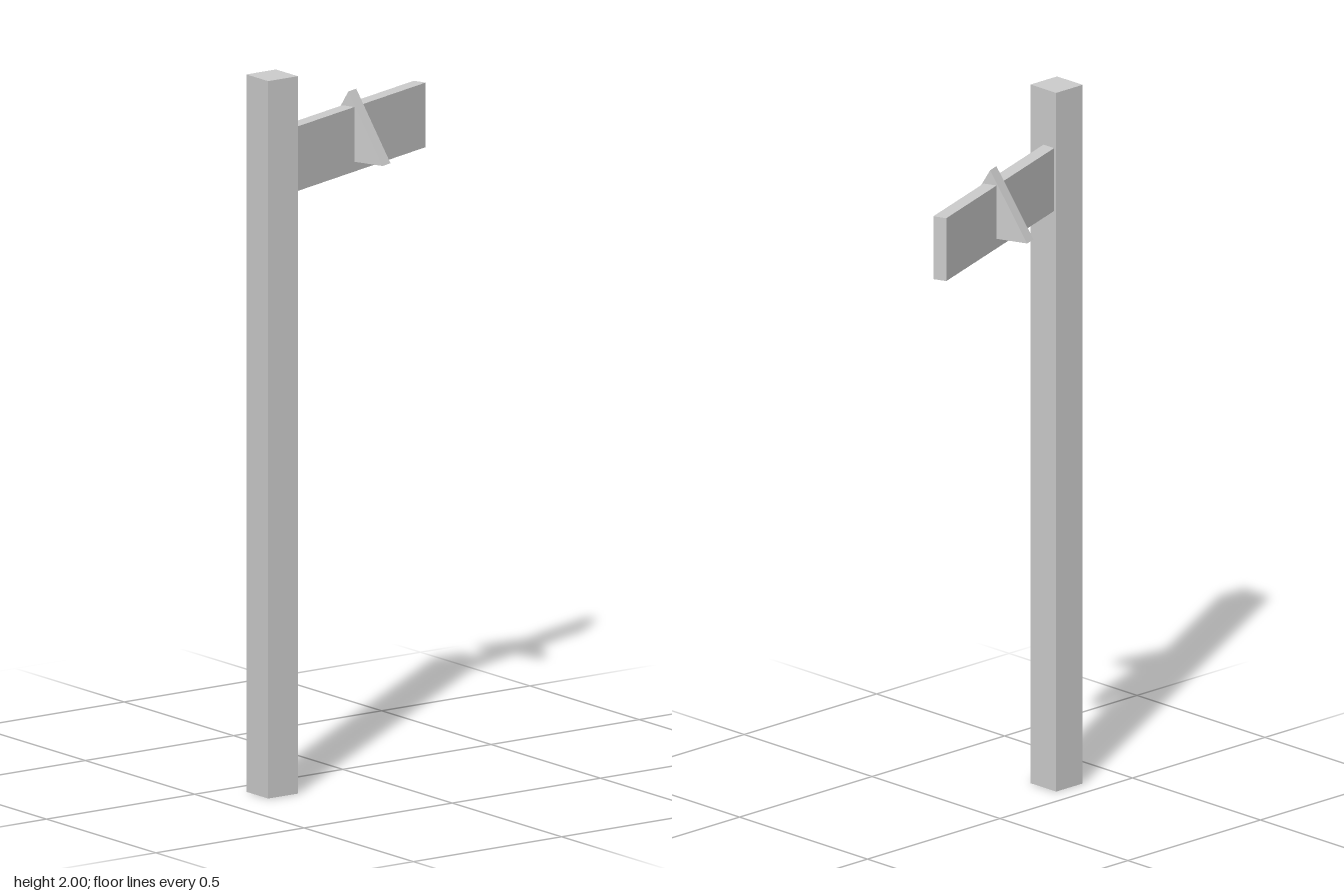
import * as THREE from 'three';

export function createModel() {
  const model = new THREE.Group();
  model.name = 'signpost';
  const paleGrey = new THREE.MeshStandardMaterial({ color: 0xcccccc });
  paleGrey.name = 'paleGrey';
  paleGrey.flatShading = true;

  const add = (parent, name, geometry, x, y, z) => {
    const mesh = new THREE.Mesh(geometry, paleGrey);
    mesh.name = name;
    mesh.position.set(x, y, z);
    parent.add(mesh);
  };

  // Square upright
  add(model, 'post', new THREE.BoxGeometry(0.1, 2, 0.1), -0.32, 1, 0.11);

  // Arm assembly, swung 20 degrees towards the back, starting inside the post
  const arm = new THREE.Group();
  arm.name = 'arm';
  arm.position.set(-0.32, 1.75, 0.107);
  arm.rotation.y = THREE.MathUtils.degToRad(20);
  model.add(arm);
  add(arm, 'board', new THREE.BoxGeometry(0.728, 0.18, 0.039), 0.364, 0, 0);

  // Equilateral triangular plate crossing the board, point upwards
  const plate = new THREE.CylinderGeometry(0.129, 0.129, 0.039, 3);
  plate.rotateX(-Math.PI / 2).rotateY(Math.PI / 2);
  add(arm, 'crossPlate', plate, 0.397, 0.002, 0);

  return model;
}
